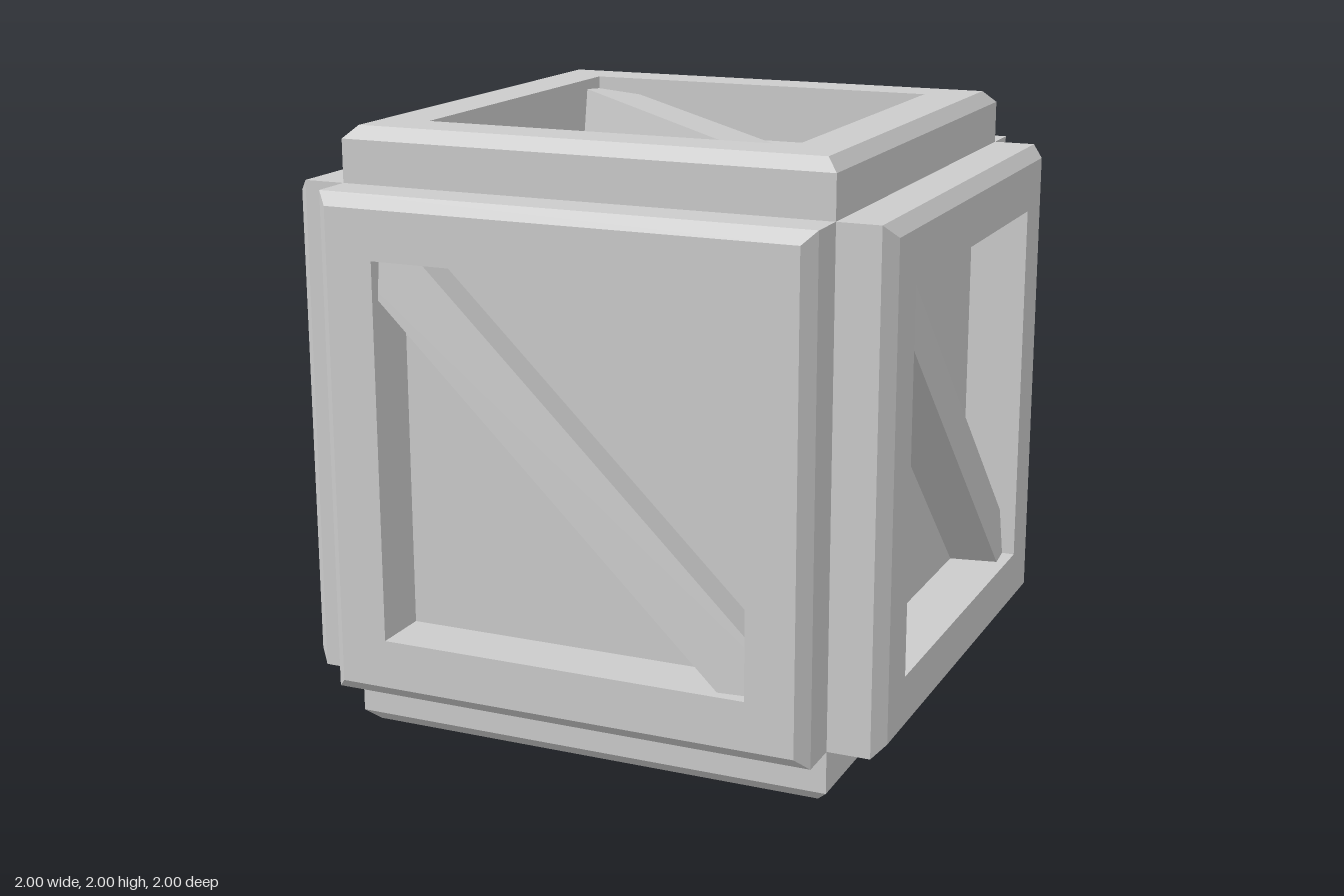
import * as THREE from 'three';

const PANEL = 0.805;
const rad = THREE.MathUtils.degToRad;

// Square picture frame facing +z, swept from its profile around four sides
function frameGeometry() {
  const profile = [[0.82, 0.8], [0.82, 0.96], [0.78, 1], [0.62, 1], [0.62, 0.8]]
    .map(([r, h]) => new THREE.Vector2(r * Math.SQRT2, h));
  const swept = new THREE.LatheGeometry(profile, 4, Math.PI / 4);
  swept.rotateX(Math.PI / 2);
  const geometry = swept.toNonIndexed();
  geometry.computeVertexNormals();
  return geometry;
}

export function createModel() {
  const crate = new THREE.Group();
  crate.name = 'crate';
  const material = new THREE.MeshStandardMaterial({ color: 0xcccccc, flatShading: true });

  function add(parent, name, geometry) {
    const mesh = new THREE.Mesh(geometry, material);
    mesh.name = name;
    parent.add(mesh);
    return mesh;
  }

  // Inner box whose faces are the recessed panels
  add(crate, 'panelBox', new THREE.BoxGeometry(2 * PANEL, 2 * PANEL, 2 * PANEL)).position.y = 1;

  const frame = frameGeometry();
  const brace = new THREE.BoxGeometry(2, 0.188, 0.18);

  // One side: raised frame and a slightly rolled diagonal brace.
  // Opposite sides have braces leaning the other way.
  function addSide(name, rx, ry, braceAngle) {
    const side = new THREE.Group();
    side.name = name;
    side.position.y = 1;
    side.rotation.set(rx, ry, 0);
    add(side, 'frame', frame);
    const bar = add(side, 'diagonalBrace', brace);
    bar.position.z = 0.865;
    bar.rotation.set(rad(-7), 0, rad(braceAngle), 'ZYX');
    crate.add(side);
  }

  const q = Math.PI / 2;
  addSide('frontSide', 0, 0, -44.3);
  addSide('backSide', 0, Math.PI, 44.3);
  addSide('leftSide', 0, q, -44.3);
  addSide('rightSide', 0, -q, 44.3);
  addSide('topSide', -q, 0, -45.8);
  addSide('bottomSide', q, 0, 45.8);

  return crate;
}
